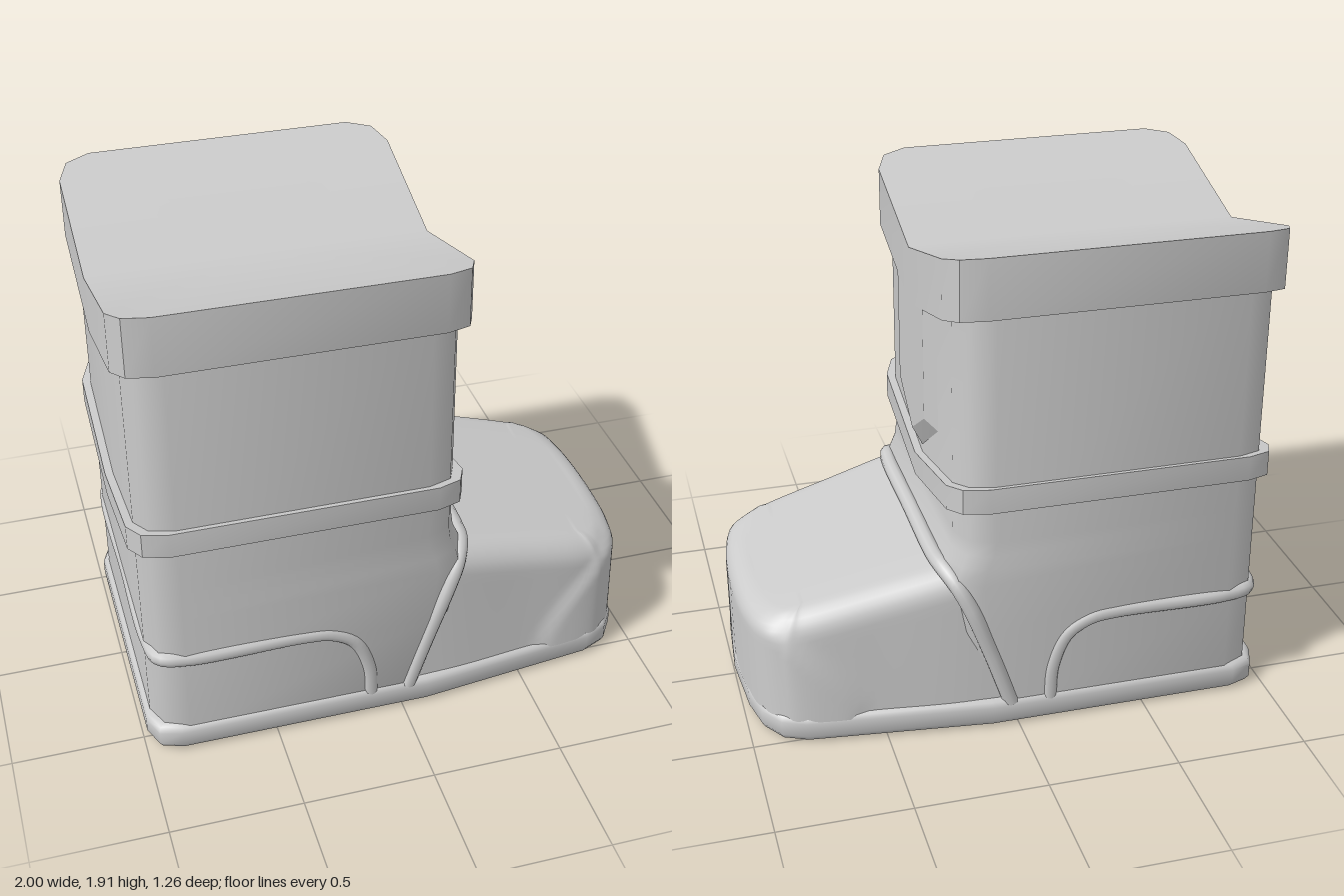
import * as THREE from 'three';
import { toCreasedNormals } from 'three/addons/utils/BufferGeometryUtils.js';

const V = (x, y, z) => new THREE.Vector3(x, y, z);
const material = new THREE.MeshStandardMaterial({ color: 0xcccccc });

// Skin rows of points (clockwise seen from the far end), optionally closed and capped.
function loft(rows, { closed = true, caps = true, crease = 0.7 } = {}) {
  const n = rows[0].length;
  const pos = rows.flat().flatMap((p) => [p.x, p.y, p.z]);
  const index = [];
  for (let r = 0; r < rows.length - 1; r++) {
    for (let i = 0; i < (closed ? n : n - 1); i++) {
      const a = r * n + i, b = r * n + (i + 1) % n;
      index.push(a, a + n, b, b, a + n, b + n);
    }
  }
  if (caps) {
    [0, rows.length - 1].forEach((r, top) => {
      // Cap centre sits on the z = 0 line so V-shaped ends stay planar per half
      const ring = rows[r], centre = pos.length / 3;
      const mid = ring.filter((p) => Math.abs(p.z) < 1e-6);
      const use = mid.length > 1 ? mid : ring;
      const c = use.reduce((s, p) => s.add(p), V(0, 0, 0)).divideScalar(use.length);
      pos.push(c.x, c.y, c.z);
      for (let i = 0; i < n; i++) {
        const a = r * n + i, b = r * n + (i + 1) % n;
        index.push(centre, ...(top ? [b, a] : [a, b]));
      }
    });
  }
  const geo = new THREE.BufferGeometry();
  geo.setAttribute('position', new THREE.Float32BufferAttribute(pos, 3));
  geo.setIndex(index);
  return toCreasedNormals(geo, crease);
}

// Box outline with rounded corners; height rises by slope * |z|.
function boxRing(x0, x1, w, y, slope = 0, c = 0.13) {
  const half = [[x1, w - c], [x1 - 0.3 * c, w - 0.3 * c], [x1 - c, w],
    [x0 + c, w], [x0 + 0.3 * c, w - 0.3 * c], [x0, w - c]];
  const pts = [[x1, 0], ...half, [x0, 0], ...half.slice().reverse().map(([x, z]) => [x, -z])];
  return pts.map(([x, z]) => V(x, y + slope * Math.abs(z), z));
}

// Tube through points on the +z side, mirrored over to the -z side.
function pipedSeam(points, radius) {
  const half = points.map((p) => V(...p));
  const other = half.filter((p) => p.z !== 0).reverse().map((p) => V(p.x, p.y, -p.z));
  return new THREE.TubeGeometry(new THREE.CatmullRomCurve3([...half, ...other]), 140, radius, 10);
}

// Tapered toe box with rounded upper edge and a slightly raised toe cap.
function toeGeometry() {
  const curve = new THREE.SplineCurve([[-0.1, 0.59], [0.2, 0.578], [0.5, 0.545], [0.77, 0.512], [0.87, 0.465],
    [0.93, 0.38], [0.96, 0.25], [0.972, 0.12], [0.975, 0]].map((p) => new THREE.Vector2(...p)));
  const half = curve.getPoints(72);
  half[half.length - 1].y = 0;
  const outline = [...half.map((p) => [p.x, -p.y]), ...half.slice(0, -1).reverse().map((p) => [p.x, p.y])];
  const normals = outline.map((p, i) => {
    const a = outline[Math.max(i - 1, 0)], b = outline[Math.min(i + 1, outline.length - 1)];
    return new THREE.Vector2(b[1] - a[1], a[0] - b[0]).normalize();
  });
  const topAt = (x) => 0.64 - 0.246 * (x - 0.31);
  const row = (f, angle) => outline.map(([x, z], i) => {
    const n = normals[i], side = n.y * n.y;
    const r = 0.07 + 0.04 * side;
    const inset = 0.025 * side * f + r * (1 - Math.cos(angle));
    const px = x - n.x * inset;
    const shoulder = topAt(px) - r;
    const y = 0.09 + f * (shoulder - 0.09) + r * Math.sin(angle);
    const edge = 0.6 + 0.3 * Math.pow(Math.max(0, (y - 0.11) / 0.36), 1.5);
    const push = 0.018 * THREE.MathUtils.smoothstep(px, edge - 0.05, edge + 0.05);
    const zz = z - n.y * (inset - push);
    return V(px + n.x * push, y, Math.abs(z) < 1e-6 ? 0 : zz);
  });
  const rows = [];
  for (let k = 0; k <= 10; k++) rows.push(row(k / 10, 0));
  for (let k = 1; k <= 7; k++) rows.push(row(1, (k / 7) * Math.PI / 2));
  const rim = rows[rows.length - 1];
  for (const s of [0.7, 0.35, 0]) rows.push(rim.map((p) => V(p.x, p.y, p.z * s)));
  return loft(rows, { closed: false, caps: false, crease: 1.2 });
}

// Sole plate: one outline, inset at its rounded lower and upper edges.
function soleGeometry() {
  const half = [[1, 0], [0.98, 0.27], [0.95, 0.4], [0.89, 0.49], [0.8, 0.53], [0.1, 0.612],
    [-0.87, 0.612], [-0.95, 0.585], [-0.985, 0.5], [-0.985, 0]];
  const outline = [...half, ...half.slice(1, -1).reverse().map(([x, z]) => [x, -z])];
  const levels = [[0, 0.03], [0.01, 0.01], [0.03, 0], [0.085, 0], [0.105, 0.008], [0.113, 0.025]];
  return loft(levels.map(([y, d]) => outline.map(([x, z]) => V(x * (1 - d), y, z * (1 - d / 0.6)))), { crease: 0.9 });
}

// Raised pointed panel on the shaft's toe side, with bevelled edges.
function panelGeometry() {
  const ring = (x, w, shoulder, tip) =>
    [[w, 1.65], [-w, 1.65], [-w, shoulder], [0, tip], [w, shoulder]].map(([z, y]) => V(x, y, z));
  return loft([ring(0.2, 0.26, 1.1, 0.92), ring(0.219, 0.26, 1.1, 0.92), ring(0.259, 0.2, 1.13, 1.0)], { crease: 0.2 });
}

export function createModel() {
  const group = new THREE.Group();
  const add = (name, geometry) => {
    const mesh = new THREE.Mesh(geometry, material);
    mesh.name = name;
    group.add(mesh);
  };

  add('sole', soleGeometry());

  // Shaft swells forward at the instep: [height, front x]
  const levels = [[0.08, 0.13], [0.4, 0.23], [0.62, 0.265], [0.69, 0.25], [0.74, 0.228], [0.8, 0.22]];
  add('shaft', loft([
    ...levels.map(([y, x1]) => boxRing(-0.965, x1, 0.6, y)),
    boxRing(-0.965, 0.22, 0.6, 1.6, 0.27),
  ], { crease: 0.9 }));

  add('toe', toeGeometry());

  add('collar', loft([boxRing(-1, 0.26, 0.63, 1.51, 0.27), boxRing(-1, 0.26, 0.63, 1.73, 0.278)]));
  add('ankleBand', loft([boxRing(-0.995, 0.25, 0.625, 0.795, 0.225), boxRing(-0.995, 0.25, 0.625, 0.89, 0.23)]));
  add('frontPanel', panelGeometry());

  add('instepPiping', pipedSeam([[0.025, 0.09, 0.583], [0.1, 0.31, 0.583], [0.18, 0.52, 0.575],
    [0.225, 0.61, 0.545], [0.26, 0.652, 0.47], [0.27, 0.655, 0.38], [0.27, 0.655, 0]], 0.032));
  add('heelPiping', pipedSeam([[-0.125, 0.09, 0.58], [-0.135, 0.23, 0.58], [-0.19, 0.36, 0.58], [-0.28, 0.415, 0.58],
    [-0.38, 0.428, 0.58], [-0.82, 0.428, 0.58], [-0.92, 0.428, 0.55], [-0.942, 0.428, 0.45], [-0.942, 0.428, 0]], 0.033));

  return group;
}
